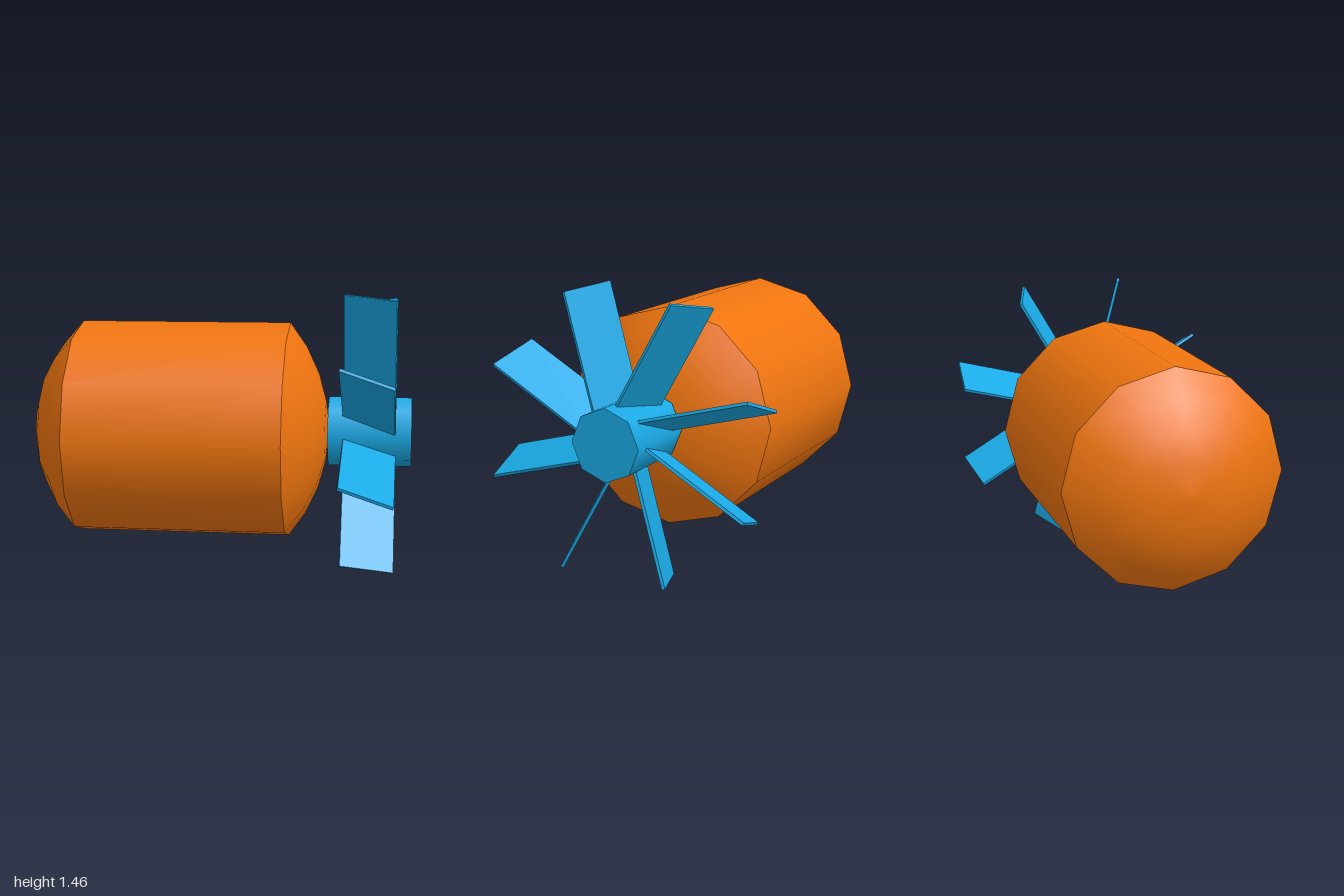
import * as THREE from 'three';

const AXIS_Y = 0.733;
const BODY_R = 0.571;
const orange = new THREE.MeshStandardMaterial({ color: 0xf0750f });
const blue = new THREE.MeshStandardMaterial({ color: 0x1aaae6 });

// Spherical cap profile from the rim (radius BODY_R, at height y) to a tip at y + depth
function capProfile(y, depth, steps = 4) {
  const h = Math.abs(depth);
  const R = (BODY_R ** 2 + h ** 2) / (2 * h);
  const half = Math.asin(BODY_R / R);
  const pts = [];
  for (let i = 0; i <= steps; i++) {
    const a = half * (1 - i / steps);
    const drop = R * (1 - Math.cos(a));
    pts.push(new THREE.Vector2(R * Math.sin(a), y + Math.sign(depth) * (h - drop)));
  }
  return depth > 0 ? pts : pts.reverse();
}

export function createModel() {
  const model = new THREE.Group();
  model.name = 'propellerMotor';
  const axis = new THREE.Group();
  axis.position.y = AXIS_Y;
  model.add(axis);

  const add = (name, geometry, material, parent = axis) => {
    const mesh = new THREE.Mesh(geometry, material);
    mesh.name = name;
    parent.add(mesh);
    return mesh;
  };

  // Twelve-sided body; separate lathes keep the rims crisp
  const profiles = {
    rearDome: capProfile(-0.75, -0.25),
    bodyBarrel: [new THREE.Vector2(BODY_R, -0.75), new THREE.Vector2(BODY_R, 0.36)],
    noseDome: capProfile(0.36, 0.207),
  };
  for (const [name, pts] of Object.entries(profiles)) {
    add(name, new THREE.LatheGeometry(pts, 12).rotateZ(-Math.PI / 2), orange);
  }

  // Eight-sided hub
  const hub = add('hub', new THREE.CylinderGeometry(0.183, 0.183, 0.432, 8).rotateZ(-Math.PI / 2), blue);
  hub.position.x = 0.784;

  // Eight pitched blades, set slightly off the radial line
  const root = 0.1, tip = 0.747;
  for (let i = 0; i < 8; i++) {
    const arm = new THREE.Group();
    arm.name = 'bladeArm';
    arm.rotation.x = Math.PI / 12 + (i * Math.PI) / 4;
    axis.add(arm);
    const blade = add('blade', new THREE.BoxGeometry(0.287, tip - root, 0.016), blue, arm);
    blade.position.set(0.782, (root + tip) / 2, 0.025);
    blade.rotation.y = -THREE.MathUtils.degToRad(20);
  }
  return model;
}
